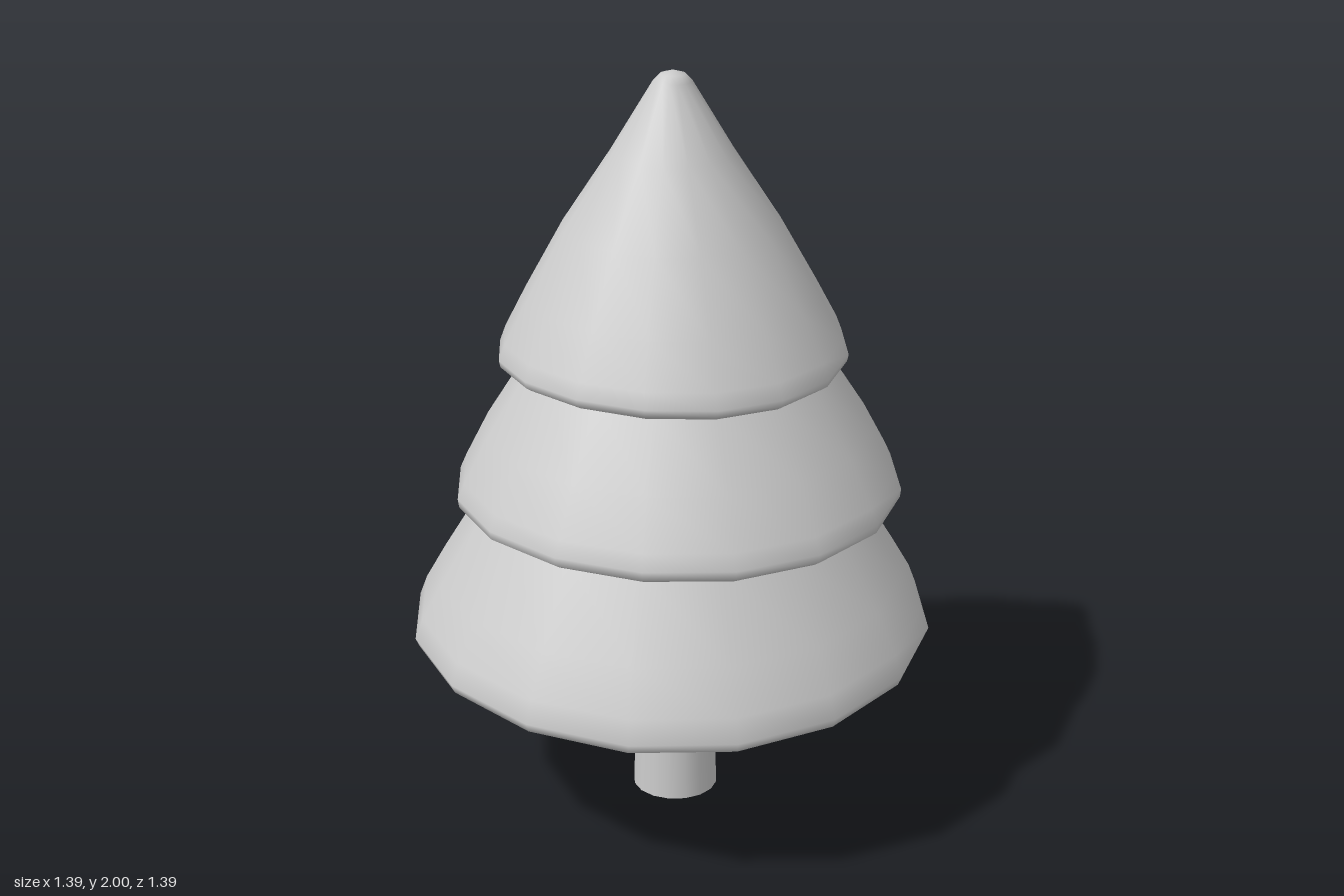
import * as THREE from 'three';
import { mergeVertices } from 'three/addons/utils/BufferGeometryUtils.js';

const SIDES = 16;

// Each tier: profile from the underside centre outwards and up to its tip,
// centre x, tilt along x and z, and a two-wave ripple of the lower rim.
const TIERS = [
  {
    name: 'lowerFoliage', cx: 0, tiltX: 0.008, tiltZ: -0.023, ripple: -0.013, phase: 0,
    profile: [[0, 0.467], [0.6, 0.467], [0.655, 0.47], [0.685, 0.482], [0.695, 0.505], [0.675, 0.56],
      [0.62, 0.66], [0.5, 0.86], [0.42, 0.98], [0, 1.02]],
  },
  {
    name: 'middleFoliage', cx: 0.02, tiltX: 0.008, tiltZ: -0.005, ripple: -0.008, phase: 0.4,
    profile: [[0, 0.863], [0.53, 0.863], [0.57, 0.867], [0.587, 0.878], [0.59, 0.9], [0.572, 0.94],
      [0.51, 1.06], [0.395, 1.24], [0.33, 1.34], [0, 1.38]],
  },
  {
    name: 'topFoliage', cx: 0.005, tiltX: 0.006, tiltZ: -0.003, ripple: -0.01, phase: 0.45,
    profile: [[0, 1.238], [0.4, 1.238], [0.438, 1.242], [0.453, 1.252], [0.457, 1.27], [0.442, 1.31],
      [0.385, 1.42], [0.285, 1.6], [0.16, 1.79], [0.05, 1.972], [0.033, 1.99], [0, 2]],
  },
];

// Lathed tier whose rim is bent up and down; the bend fades out with height
function foliageTier({ name, cx, tiltX, tiltZ, ripple, phase, profile }) {
  const points = profile.map(([r, y]) => new THREE.Vector2(r, y));
  let geometry = new THREE.LatheGeometry(points, SIDES);
  const pos = geometry.attributes.position;
  const base = profile[0][1];
  const rim = Math.max(...profile.map(([r]) => r));
  for (let i = 0; i < pos.count; i++) {
    const x = pos.getX(i), y = pos.getY(i), z = pos.getZ(i);
    const reach = Math.hypot(x, z) / rim;
    const angle = Math.atan2(x, z);
    const fade = Math.max(0, 1 - (y - base) / 0.35);
    const bend = (tiltX * x + tiltZ * z) / rim + ripple * reach * Math.cos(2 * (angle - phase));
    pos.setY(i, y + bend * fade);
  }
  // Weld the seam so the shading is smooth all round
  geometry.deleteAttribute('uv');
  geometry.deleteAttribute('normal');
  geometry = mergeVertices(geometry, 1e-4);
  geometry.computeVertexNormals();
  const mesh = new THREE.Mesh(geometry, new THREE.MeshStandardMaterial({ color: 0xcccccc }));
  mesh.name = name;
  mesh.position.x = cx;
  return mesh;
}

export function createModel() {
  const tree = new THREE.Group();
  tree.name = 'tree';

  // Tapered trunk, open at the foot
  const trunk = new THREE.Mesh(
    new THREE.CylinderGeometry(0.099, 0.115, 0.55, SIDES, 1, true),
    new THREE.MeshStandardMaterial({ color: 0xcccccc, side: THREE.DoubleSide }),
  );
  trunk.name = 'trunk';
  trunk.position.set(0.01, 0.275, 0.01);
  tree.add(trunk);

  // Three stacked skirts of foliage
  for (const tier of TIERS) tree.add(foliageTier(tier));
  return tree;
}
